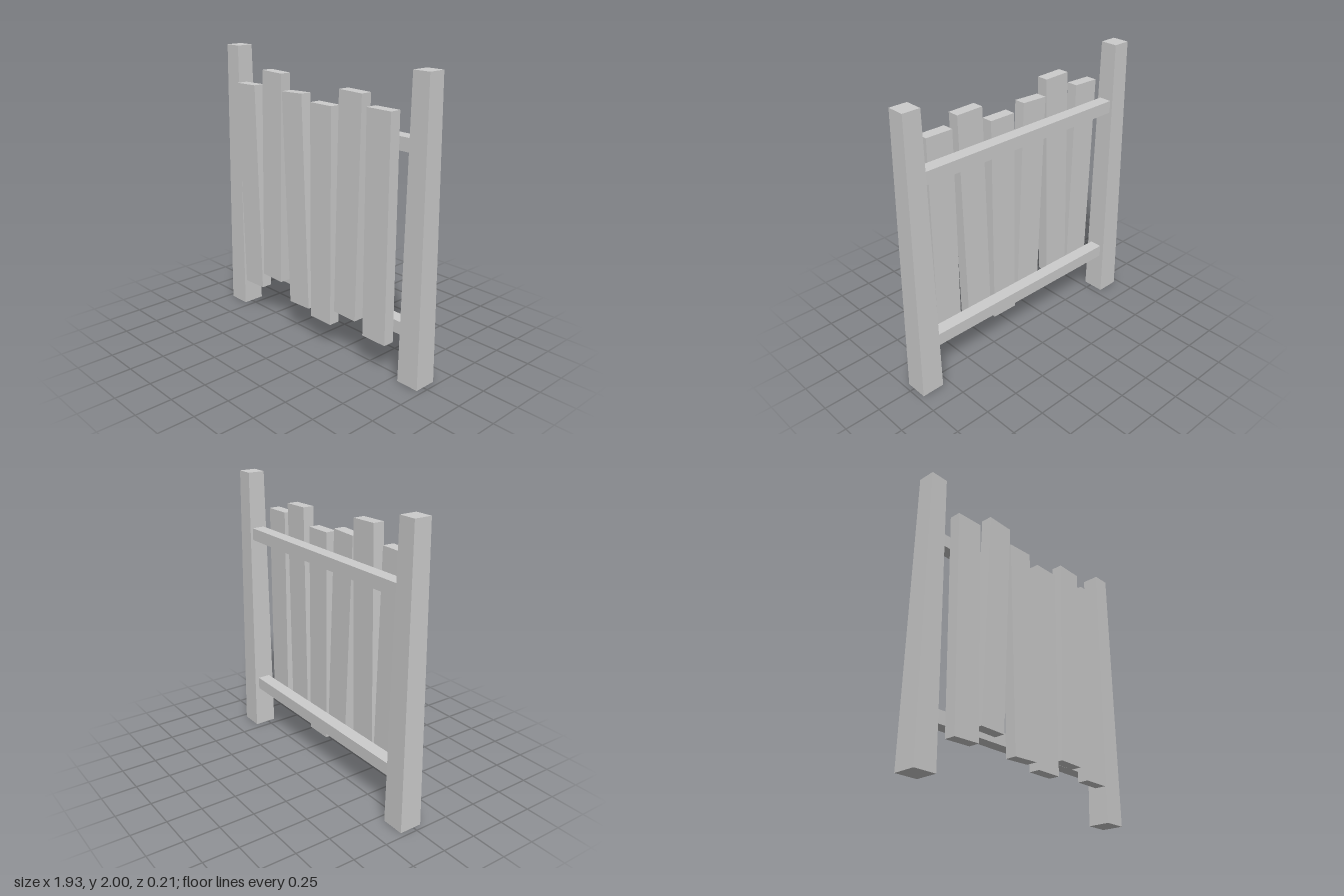
import * as THREE from 'three';

const material = new THREE.MeshStandardMaterial({ color: 0xcccccc, flatShading: true });

function box(name, w, h, d, x, y, z) {
  const mesh = new THREE.Mesh(new THREE.BoxGeometry(w, h, d), material);
  mesh.name = name;
  mesh.position.set(x, y, z);
  return mesh;
}

export function createModel() {
  const fence = new THREE.Group();
  fence.name = 'fence';

  // Square posts, narrower at the top
  for (const side of [-1, 1]) {
    const post = box(side < 0 ? 'rightPost' : 'leftPost', 0.164, 2, 0.162, side * 0.883, 1, -0.021);
    const p = post.geometry.attributes.position;
    for (let i = 0; i < p.count; i++) {
      if (p.getY(i) > 0) p.setXYZ(i, p.getX(i) * 0.76, p.getY(i), p.getZ(i) * 0.76);
    }
    post.geometry.computeVertexNormals();
    fence.add(post);
  }

  // Horizontal rails between the posts
  fence.add(box('lowerRail', 1.64, 0.088, 0.092, 0, 0.355, -0.022));
  fence.add(box('upperRail', 1.64, 0.088, 0.092, 0, 1.553, -0.022));

  // Crooked planks: [bottom centre x, top centre x, middle height]
  const planks = [
    [-0.618, -0.657, 0.992],
    [-0.403, -0.368, 1.109],
    [-0.103, -0.164, 0.995],
    [0.118, 0.118, 0.955],
    [0.353, 0.384, 1.071],
    [0.622, 0.622, 0.994],
  ];
  planks.forEach(([bottom, top, y], i) => {
    const plank = box(`plank${i + 1}`, 0.197, 1.518, 0.08, (bottom + top) / 2, y, 0.064);
    plank.rotation.z = Math.atan2(bottom - top, 1.518);
    fence.add(plank);
  });

  return fence;
}
